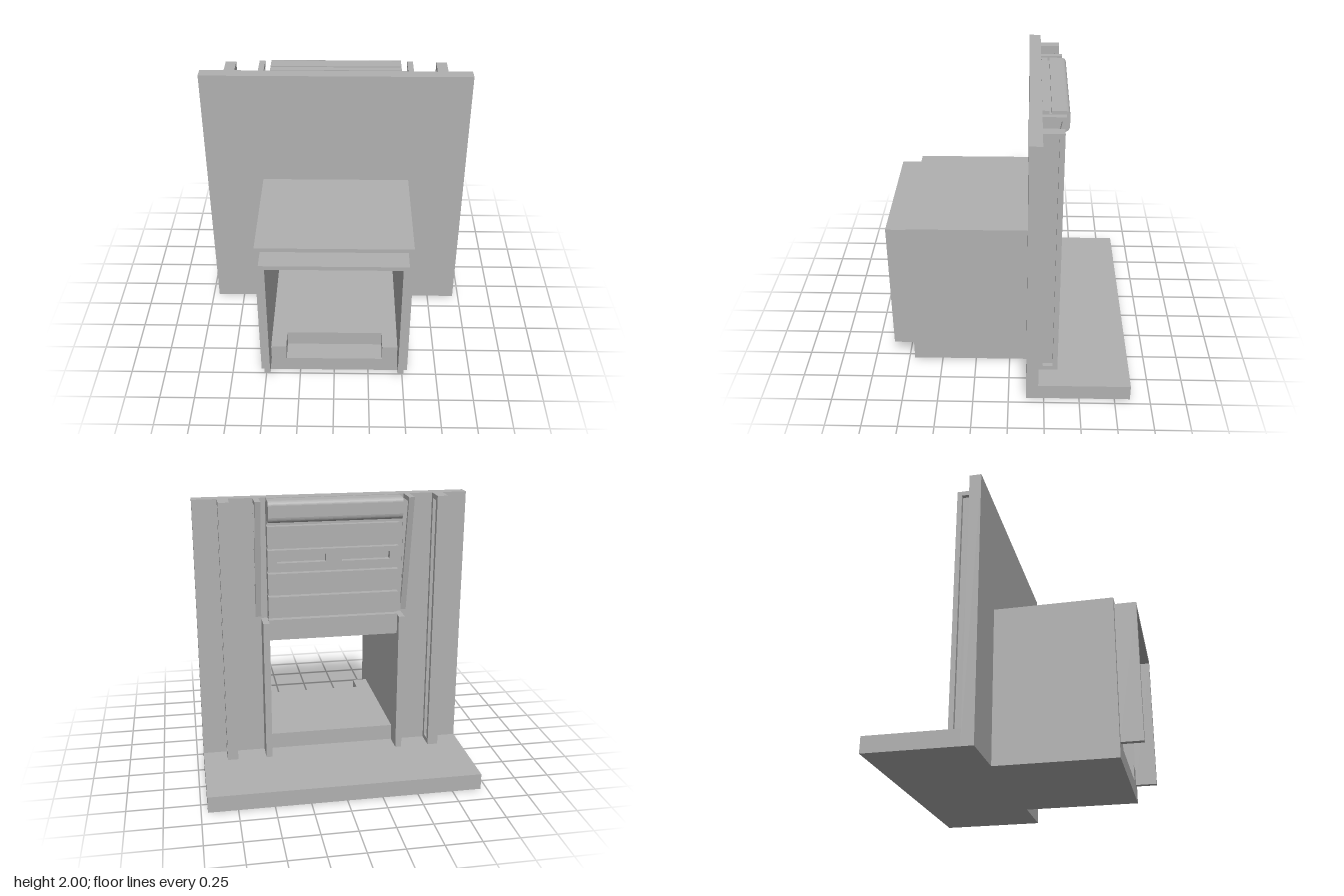
import * as THREE from 'three';

export function createModel() {
  const root = new THREE.Group();
  root.name = 'panelWithTunnel';
  const grey = new THREE.MeshStandardMaterial({ color: 0xb0b0b0 });
  grey.name = 'grey';

  const add = (name, geometry) => {
    const mesh = new THREE.Mesh(geometry, grey);
    mesh.name = name;
    root.add(mesh);
    return mesh;
  };
  // Box given by its lower and upper limits
  const box = (name, x0, x1, y0, y1, z0, z1) =>
    add(name, new THREE.BoxGeometry(x1 - x0, y1 - y0, z1 - z0)
      .translate((x0 + x1) / 2, (y0 + y1) / 2, (z0 + z1) / 2));
  const path = (pts, Type = THREE.Shape) => new Type(pts.map(([a, b]) => new THREE.Vector2(a, b)));
  const rect = (a0, a1, b0, b1, Type) => path([[a0, b0], [a1, b0], [a1, b1], [a0, b1]], Type);
  const extrude = (shape, depth, curveSegments = 8) =>
    new THREE.ExtrudeGeometry(shape, { depth, bevelEnabled: false, curveSegments });
  // Shape drawn in (-z, y), extruded along x from x0 to x1
  const sideExtrude = (name, shape, x0, x1) =>
    add(name, extrude(shape, x1 - x0).rotateY(Math.PI / 2).translate(x0, 0, 0));

  // Front panel and tunnel share one opening
  const opening = () => rect(-0.46, 0.46, 0.115, 1.08, THREE.Path);
  const panel = rect(-0.955, 0.955, 0, 1.995);
  panel.holes.push(opening());
  add('frontPanel', extrude(panel, 0.085).translate(0, 0, -0.21));
  const tunnel = rect(-0.54, 0.54, 0, 1.14);
  tunnel.holes.push(opening());
  add('tunnel', extrude(tunnel, 0.835).translate(0, 0, -0.125));

  // Protruding lip, open at the bottom
  const lip = path([[-0.5, 0.115], [-0.46, 0.115], [-0.46, 1.08], [0.46, 1.08],
    [0.46, 0.115], [0.5, 0.115], [0.5, 1.11], [-0.5, 1.11]]);
  add('tunnelLip', extrude(lip, 0.15).translate(0, 0, 0.71));

  // Raised floor with a notch at the front
  const floor = path([[-0.46, 0.21], [0.46, 0.21], [0.46, -0.71], [0.35, -0.71],
    [0.35, -0.56], [-0.35, -0.56], [-0.35, -0.71], [-0.46, -0.71]]);
  add('tunnelFloor', extrude(floor, 0.115).rotateX(-Math.PI / 2).translate(0, 0.115, 0));
  box('base', -0.955, 0.955, 0, 0.115, -0.86, -0.21);

  for (const s of [-1, 1]) {
    const span = (a, b) => (s > 0 ? [a, b] : [-b, -a]);

    // Outer rail: slotted frame with a thin web
    const rail = rect(0.21, 0.348, 0.115, 1.995);
    rail.holes.push(rect(0.24, 0.313, 0.15, 1.96, THREE.Path));
    sideExtrude('outerRail', rail, ...span(0.71, 0.785));
    box('railWeb', ...span(0.74, 0.755), 0.15, 1.96, -0.313, -0.24);

    // Lower guide post beside the opening
    box('guidePost', ...span(0.46, 0.505), 0.115, 1.14, -0.35, -0.21);

    // Hollow triangular bracket leaning out at the top
    const bracket = path([[0.21, 1.15], [0.364, 1.995], [0.21, 1.995]]);
    bracket.holes.push(path([[0.213, 1.28], [0.213, 1.965], [0.337, 1.965]], THREE.Path));
    sideExtrude('bracket', bracket, ...span(0.505, 0.545));
  }

  // Shutter: backing and horizontal slats
  box('shutterBacking', -0.46, 0.46, 1.0, 2.0, -0.255, -0.21);
  const pitch = 0.166;
  for (let i = 0; i < 6; i++) {
    const y0 = 1.0 + i * pitch;
    const slat = rect(-0.46, 0.46, y0, y0 + pitch - 0.018);
    if (i === 3) {
      for (const [a, b] of [[-0.395, -0.055], [0.055, 0.395]]) {
        slat.holes.push(rect(a, b, 1.555, 1.61, THREE.Path));
      }
    }
    add('shutterSlat', extrude(slat, 0.045).translate(0, 0, -0.3));
  }

  // Rounded handle across the top of the shutter
  const handle = new THREE.Shape();
  handle.moveTo(0.27, 1.85);
  handle.lineTo(0.355, 1.85);
  handle.quadraticCurveTo(0.385, 1.855, 0.39, 1.89);
  handle.lineTo(0.39, 1.97);
  handle.quadraticCurveTo(0.388, 1.998, 0.355, 2.0);
  handle.lineTo(0.27, 2.0);
  handle.closePath();
  sideExtrude('shutterHandle', handle, -0.46, 0.46);

  return root;
}
